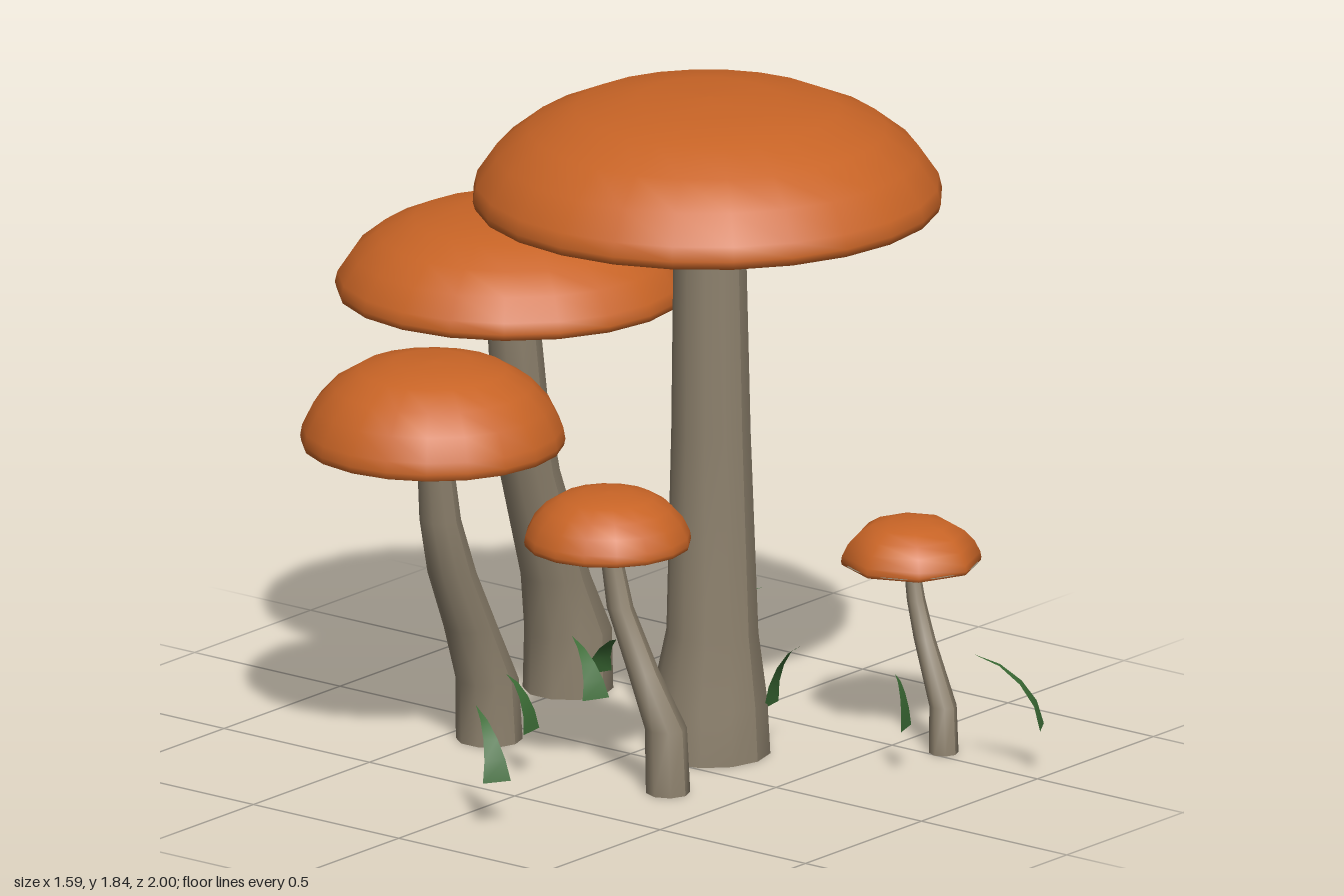
import * as THREE from 'three';

const orange = new THREE.MeshStandardMaterial({ color: 0xc86426, side: THREE.DoubleSide });
orange.name = 'capOrange';
const stemGrey = new THREE.MeshStandardMaterial({ color: 0x8c806c, side: THREE.DoubleSide });
stemGrey.name = 'stemGrey';
const green = new THREE.MeshStandardMaterial({ color: 0x3b6b35, side: THREE.DoubleSide });
green.name = 'grassGreen';

// cap: centre x, z, radius, rim height, top height; stem stations: [y, x, z, radius]
const MUSHROOMS = [
  { name: 'tallMushroom', cap: [0.155, 0.14, 0.635, 1.535, 1.837], sides: 24, stem: [
    [0, 0.155, 0.148, 0.165], [0.15, 0.155, 0.148, 0.157], [0.34, 0.158, 0.155, 0.125],
    [0.9, 0.158, 0.15, 0.108], [1.36, 0.156, 0.148, 0.1], [1.58, 0.153, 0.147, 0.086]] },
  { name: 'backMushroom', cap: [0.14, -0.52, 0.477, 1.168, 1.4], sides: 20, stem: [
    [0, 0.375, -0.515, 0.122], [0.17, 0.375, -0.515, 0.118], [0.33, 0.325, -0.518, 0.094],
    [0.65, 0.215, -0.52, 0.082], [0.85, 0.175, -0.521, 0.076], [1.07, 0.148, -0.52, 0.072], [1.21, 0.14, -0.52, 0.058]] },
  { name: 'sideMushroom', cap: [-0.352, -0.4, 0.357, 0.877, 1.115], sides: 20, stem: [
    [0, -0.125, -0.387, 0.09], [0.17, -0.13, -0.39, 0.085], [0.33, -0.195, -0.395, 0.073],
    [0.5, -0.272, -0.398, 0.066], [0.66, -0.32, -0.4, 0.056], [0.91, -0.352, -0.4, 0.045]] },
  { name: 'shortMushroom', cap: [-0.25, 0.12, 0.226, 0.67, 0.82], sides: 16, stem: [
    [0, -0.215, 0.3, 0.06], [0.18, -0.218, 0.295, 0.057], [0.33, -0.228, 0.225, 0.043],
    [0.5, -0.24, 0.155, 0.036], [0.69, -0.248, 0.12, 0.027]] },
  { name: 'smallMushroom', cap: [0.57, 0.51, 0.19, 0.497, 0.62], sides: 8, stem: [
    [0, 0.535, 0.65, 0.04], [0.13, 0.538, 0.645, 0.037], [0.3, 0.558, 0.565, 0.029],
    [0.4, 0.566, 0.53, 0.025], [0.51, 0.57, 0.508, 0.02]] },
];

// Domed cap: radius fraction, height fraction, from the rolled lip to the crown
const CAP_PROFILE = [[0.94, 0.06], [0.965, 0.0], [0.99, 0.015], [1, 0.09], [0.985, 0.22], [0.9, 0.48],
  [0.76, 0.71], [0.56, 0.895], [0.3, 0.985], [0.0001, 1]];

function capMesh(radius, height, sides) {
  const pts = CAP_PROFILE.map(([r, h]) => new THREE.Vector2(r * radius, h * height));
  const mesh = new THREE.Mesh(new THREE.LatheGeometry(pts, sides), orange);
  mesh.name = 'cap';
  return mesh;
}

// Pleated ring under the cap, with a ragged hole around the stem
function gillMesh(radius, height, sides) {
  const segs = sides * 3, rows = 3;
  const geo = new THREE.RingGeometry(0.18, 0.955, segs, rows).rotateX(Math.PI / 2);
  const pos = geo.attributes.position;
  for (let i = 0; i < pos.count; i++) {
    const row = Math.floor(i / (segs + 1)), k = (i % (segs + 1)) % segs;
    const groove = k % 3 === 0;
    const s = row === 0 && groove ? 1.3 : 1;
    const y = 0.24 - 0.18 * (row / rows) + (groove && row < rows ? 0.07 : 0);
    pos.setXYZ(i, pos.getX(i) * s * radius, y * height, pos.getZ(i) * s * radius);
  }
  geo.computeVertexNormals();
  const mesh = new THREE.Mesh(geo, stemGrey);
  mesh.name = 'gills';
  return mesh;
}

// Stem: a cylinder whose rows are moved onto the stations
function stemMesh(stations, sides) {
  const n = stations.length - 1;
  const geo = new THREE.CylinderGeometry(1, 1, 1, sides, n);
  const pos = geo.attributes.position;
  for (let i = 0; i < pos.count; i++) {
    const [y, x, z, r] = stations[Math.round((pos.getY(i) + 0.5) * n)];
    pos.setXYZ(i, x + pos.getX(i) * r, y, z + pos.getZ(i) * r);
  }
  geo.computeVertexNormals();
  const mesh = new THREE.Mesh(geo, stemGrey);
  mesh.name = 'stem';
  return mesh;
}

// Grass: base x, z, tip x, y, z
const BLADES = [
  [-0.765, 0.15, -0.68, 0.3, 0.01],
  [-0.34, -0.07, -0.35, 0.28, -0.15],
  [0.0, -0.12, 0.06, 0.27, -0.25],
  [0.255, 0.28, 0.27, 0.31, 0.37],
  [0.31, 0.7, 0.3, 0.28, 0.67],
  [0.545, 0.98, 0.447, 0.33, 0.82],
  [0.695, -0.24, 0.735, 0.27, -0.13],
  [0.2, -0.27, 0.15, 0.26, -0.15],
];

// Curved tapering strip that rises, then leans toward its tip
function bladeMesh([bx, bz, tx, ty, tz]) {
  const geo = new THREE.PlaneGeometry(1, 1, 1, 4);
  const pos = geo.attributes.position;
  const dx = tx - bx, dz = tz - bz, len = Math.hypot(dx, dz), base = 0.13;
  for (let i = 0; i < pos.count; i++) {
    const t = pos.getY(i) + 0.5;
    const w = pos.getX(i) * 0.08 * (1 - t);
    const lean = t ** 1.7, rise = 1 - (1 - t) ** 1.4;
    pos.setXYZ(i, bx + dx * lean - (dz / len) * w, base + (ty - base) * rise, bz + dz * lean + (dx / len) * w);
  }
  geo.computeVertexNormals();
  const mesh = new THREE.Mesh(geo, green);
  mesh.name = 'grassBlade';
  return mesh;
}

export function createModel() {
  const model = new THREE.Group();
  model.name = 'mushroomCluster';
  for (const { name, cap, sides, stem } of MUSHROOMS) {
    const [x, z, radius, rim, top] = cap;
    const mushroom = new THREE.Group();
    mushroom.name = name;
    const head = new THREE.Group();
    head.name = 'head';
    head.position.set(x, rim, z);
    head.add(capMesh(radius, top - rim, sides), gillMesh(radius, top - rim, sides));
    mushroom.add(head, stemMesh(stem, Math.max(8, Math.round(sides / 2))));
    model.add(mushroom);
  }
  const grass = new THREE.Group();
  grass.name = 'grass';
  BLADES.forEach((b) => grass.add(bladeMesh(b)));
  model.add(grass);
  return model;
}
